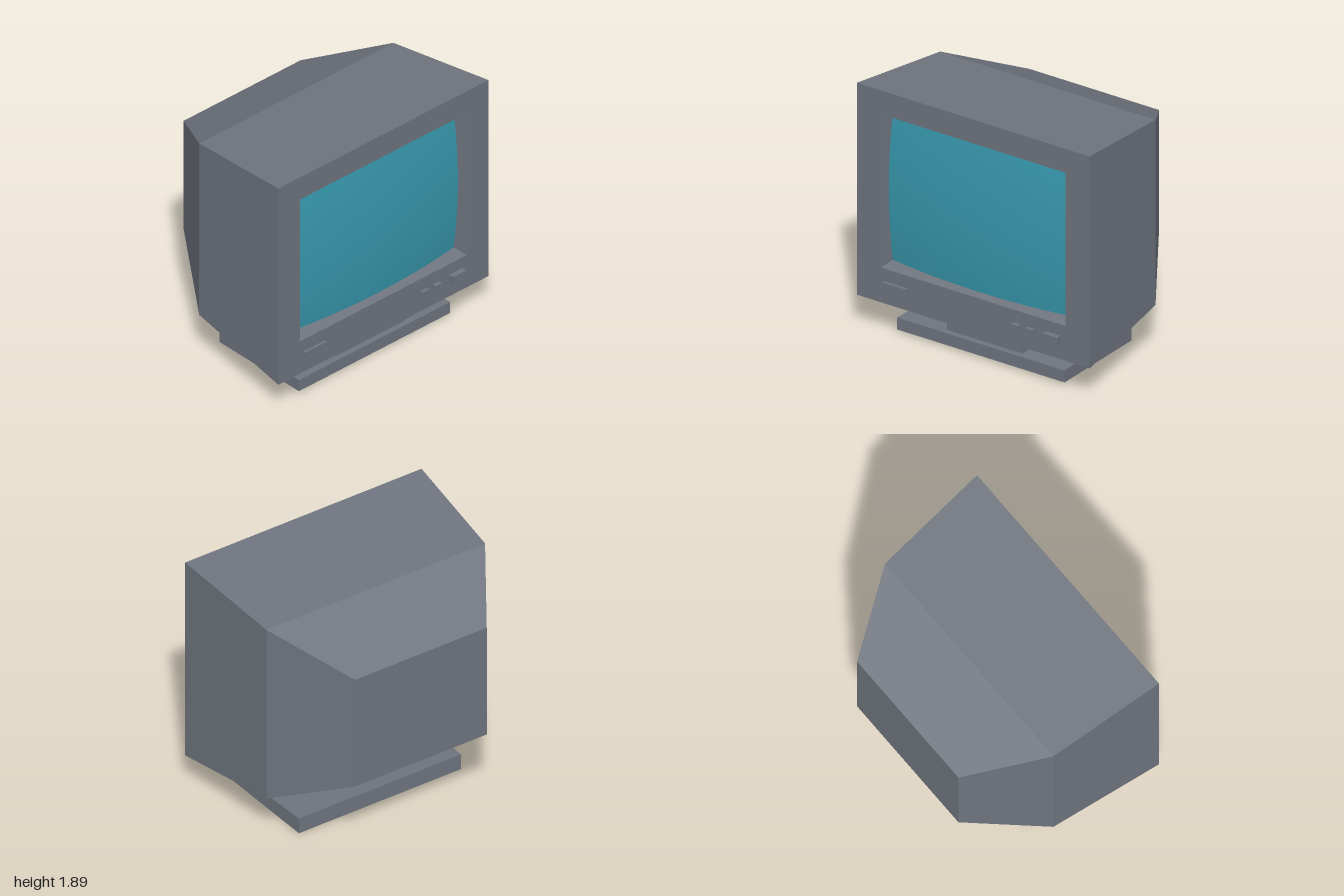
import * as THREE from 'three';

const casing = new THREE.MeshStandardMaterial({ color: 0x6f747e });
casing.name = 'grey casing';
const glass = new THREE.MeshStandardMaterial({ color: 0x3799ae });
glass.name = 'teal glass';

function addMesh(group, name, geometry, material = casing) {
  const mesh = new THREE.Mesh(geometry, material);
  mesh.name = name;
  group.add(mesh);
  return mesh;
}

// Flat-sided loft through rectangles [halfWidth, bottom, top, z], front to back.
// Listing them back to front turns the walls inward.
function loft(sections, capFront, capBack) {
  const rings = sections.map(([w, b, t, z]) => [[-w, b, z], [w, b, z], [w, t, z], [-w, t, z]]);
  const pos = [];
  const quad = (a, b, c, d) => pos.push(...a, ...b, ...c, ...a, ...c, ...d);
  for (let s = 0; s < rings.length - 1; s++) {
    const A = rings[s], B = rings[s + 1];
    for (let i = 0; i < 4; i++) {
      const j = (i + 1) % 4;
      quad(A[i], B[i], B[j], A[j]);
    }
  }
  const F = rings[0], L = rings[rings.length - 1];
  if (capFront) quad(F[0], F[1], F[2], F[3]);
  if (capBack) quad(L[0], L[3], L[2], L[1]);
  const geo = new THREE.BufferGeometry();
  geo.setAttribute('position', new THREE.Float32BufferAttribute(pos, 3));
  geo.computeVertexNormals();
  return geo;
}

function rectPath(path, w, b, t) {
  path.moveTo(-w, b);
  path.lineTo(w, b);
  path.lineTo(w, t);
  path.lineTo(-w, t);
  path.closePath();
  return path;
}

export function createModel() {
  const model = new THREE.Group();
  model.name = 'monitor';
  const front = 0.7;
  const open = { w: 0.793, b: 0.515, t: 1.705 }; // screen opening
  const taper = 0.25; // inward slope of the opening walls

  // Housing narrowing towards the back
  addMesh(model, 'housing', loft([
    [1, 0.245, 1.89, front],
    [0.925, 0.362, 1.8, -0.19],
    [0.557, 0.64, 1.55, -0.745],
  ], false, true));

  // Front bezel with the opening cut out
  const bezel = rectPath(new THREE.Shape(), 1, 0.245, 1.89);
  bezel.holes.push(rectPath(new THREE.Path(), open.w, open.b, open.t));
  addMesh(model, 'bezel', new THREE.ShapeGeometry(bezel)).position.z = front;

  // Sloping walls inside the opening
  const deep = 0.13, inset = deep * taper;
  addMesh(model, 'screenSurround', loft([
    [open.w - inset, open.b + inset, open.t - inset, front - deep],
    [open.w, open.b, open.t, front],
  ], false, false));

  // Bulging screen whose rim follows the opening walls
  const screen = new THREE.PlaneGeometry(2, 2, 12, 12);
  const p = screen.attributes.position;
  const midY = (open.b + open.t) / 2, halfH = (open.t - open.b) / 2;
  for (let i = 0; i < p.count; i++) {
    const u = p.getX(i), v = p.getY(i);
    const depth = 0.025 + 0.045 * u * u + 0.035 * v * v;
    p.setXYZ(i, u * (open.w - taper * depth), midY + v * (halfH - taper * depth), front - depth);
  }
  screen.computeVertexNormals();
  addMesh(model, 'screen', screen, glass);

  // Controls: [name, x0, x1, y0, y1, protrusion]
  const controls = [
    ['indicatorBar', -0.765, -0.56, 0.38, 0.417, 0.022],
    ['smallButtonA', 0.346, 0.411, 0.38, 0.417, 0.03],
    ['smallButtonB', 0.465, 0.53, 0.38, 0.417, 0.03],
    ['powerButton', 0.626, 0.75, 0.366, 0.427, 0.043],
  ];
  for (const [name, x0, x1, y0, y1, d] of controls) {
    const back = 0.01; // sunk slightly into the bezel
    addMesh(model, name, new THREE.BoxGeometry(x1 - x0, y1 - y0, d + back))
      .position.set((x0 + x1) / 2, (y0 + y1) / 2, front + (d - back) / 2);
  }

  // Stand
  addMesh(model, 'neck', new THREE.BoxGeometry(0.646, 0.2, 0.615)).position.set(0, 0.208, 0.258);
  addMesh(model, 'base', loft([
    [0.72, 0.02, 0.112, 0.61],
    [0.685, 0, 0.125, -0.24],
  ], true, true));

  return model;
}
